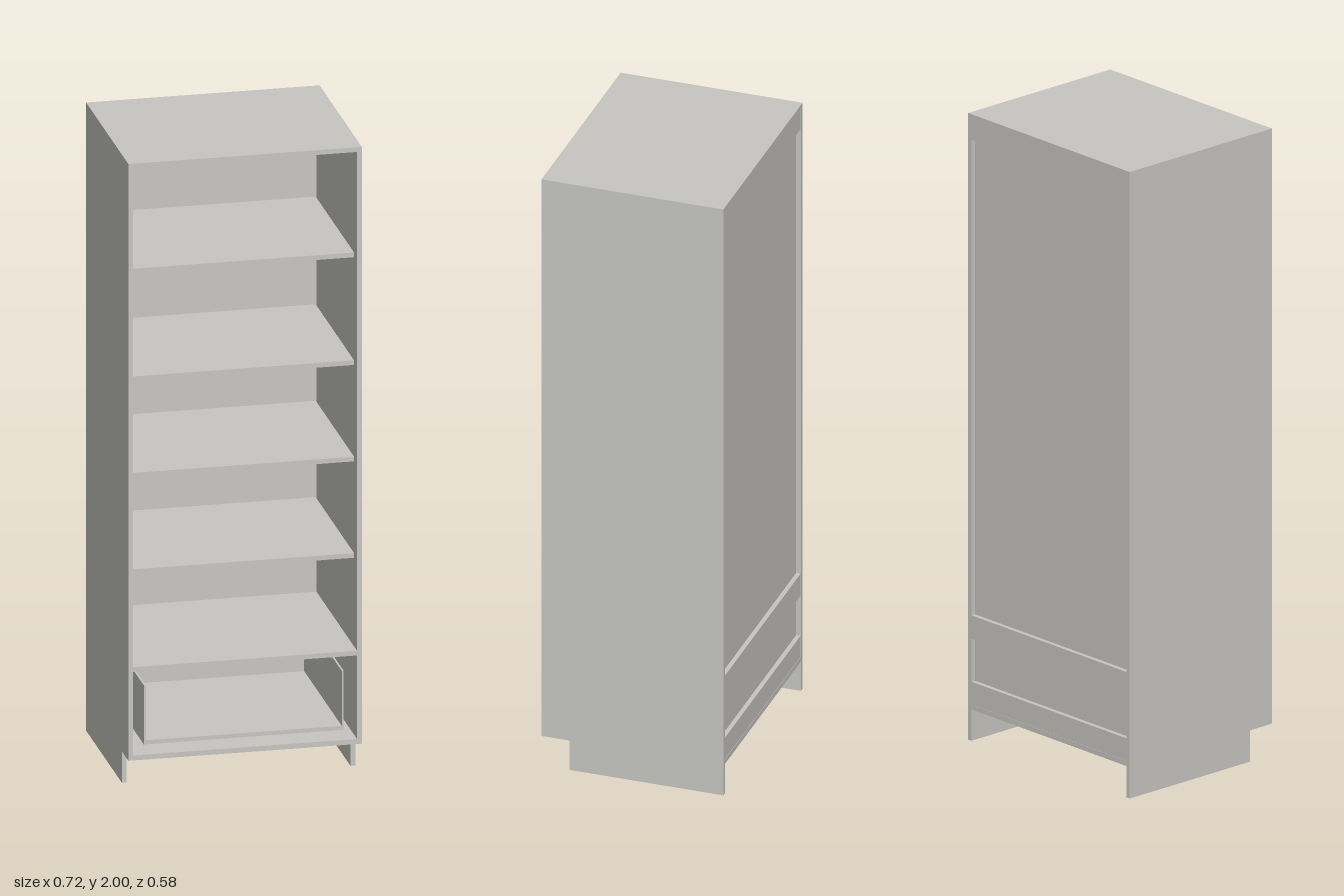
import * as THREE from 'three';

export function createModel() {
  const model = new THREE.Group();
  model.name = 'tallCabinet';
  const board = new THREE.MeshStandardMaterial({ color: 0xc8c7c3 });
  board.name = 'pale grey board';

  const W = 0.36, D = 0.29, T = 0.015; // half width, half depth, board thickness
  const inner = W - T;

  // Box given by its minimum and maximum corners
  function box(name, x0, x1, y0, y1, z0, z1, parent = model) {
    const mesh = new THREE.Mesh(new THREE.BoxGeometry(x1 - x0, y1 - y0, z1 - z0), board);
    mesh.position.set((x0 + x1) / 2, (y0 + y1) / 2, (z0 + z1) / 2);
    mesh.name = name;
    parent.add(mesh);
  }

  // Side panels with a toe notch at the front; shape x becomes -z
  const side = new THREE.Shape([
    [-0.2, 0], [D, 0], [D, 2], [-D, 2], [-D, 0.1], [-0.2, 0.1],
  ].map(([x, y]) => new THREE.Vector2(x, y)));
  const sideGeometry = new THREE.ExtrudeGeometry(side, { depth: T, bevelEnabled: false });
  sideGeometry.rotateY(Math.PI / 2);
  for (const [name, x] of [['rightSide', -W], ['leftSide', inner]]) {
    const panel = new THREE.Mesh(sideGeometry, board);
    panel.position.x = x;
    panel.name = name;
    model.add(panel);
  }

  // Fixed boards
  box('top', -inner, inner, 2 - T, 2, -D, D);
  box('fixedShelf', -inner, inner, 0.382, 0.397, -0.275, D);
  box('bottom', -inner, inner, 0.1, 0.116, -D, D);

  // Loose shelves, set slightly back
  for (const y of [0.684, 0.991, 1.298, 1.641]) {
    box('shelf', -0.342, 0.342, y, y + T, -0.264, 0.263);
  }

  // Recessed back panel and the rails behind it
  box('backPanel', -inner, inner, 0.116, 2 - T, -0.275, -0.267);
  for (const [name, y0, y1] of [
    ['topRail', 1.918, 2 - T], ['middleRail', 0.325, 0.4], ['bottomRail', 0.116, 0.188],
  ]) box(name, -inner, inner, y0, y1, -D + 0.001, -0.275);

  // Open-fronted drawer box
  const drawer = new THREE.Group();
  drawer.name = 'drawer';
  model.add(drawer);
  const dw = 0.308, dt = 0.006;
  box('drawerFloor', -dw + dt, dw - dt, 0.142, 0.155, -0.25, 0.272, drawer);
  box('drawerRightSide', -dw, -dw + dt, 0.142, 0.33, -0.25, 0.272, drawer);
  box('drawerLeftSide', dw - dt, dw, 0.142, 0.33, -0.25, 0.272, drawer);
  box('drawerBack', -dw + dt, dw - dt, 0.155, 0.33, -0.25, -0.244, drawer);

  return model;
}
